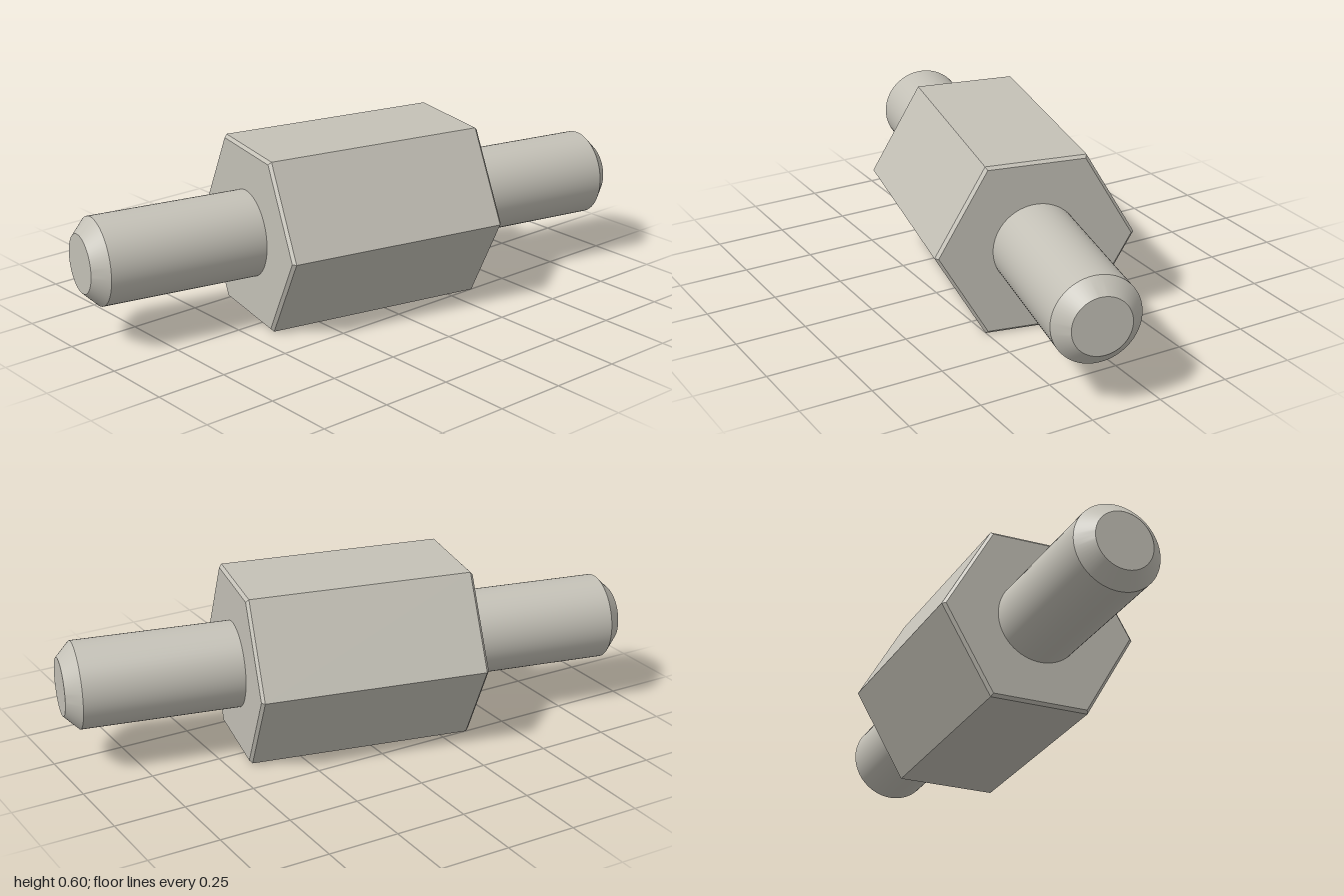
import * as THREE from 'three';
import { toCreasedNormals } from 'three/addons/utils/BufferGeometryUtils.js';

// Turned solid along +x from [radius, position] pairs, with sharp creases
function turned(profile, sides) {
  const points = profile.map(([r, a]) => new THREE.Vector2(r, a));
  const geometry = new THREE.LatheGeometry(points, sides);
  geometry.rotateZ(-Math.PI / 2);
  return toCreasedNormals(geometry, 0.5);
}

export function createModel() {
  const model = new THREE.Group();
  model.name = 'hexSpacer';
  const metal = new THREE.MeshStandardMaterial({ color: 0xc4c1b7 });
  metal.name = 'warm grey metal';

  const body = new THREE.Group();
  body.name = 'spacerBody';
  body.position.y = 0.3;
  body.rotation.y = THREE.MathUtils.degToRad(-12);
  model.add(body);

  // Hexagonal barrel with a fine chamfer at both ends
  const R = 0.3 / Math.cos(Math.PI / 6);
  const barrel = new THREE.Mesh(
    turned([[0, -0.4], [R - 0.0115, -0.4], [R, -0.39], [R, 0.39], [R - 0.0115, 0.4], [0, 0.4]], 6),
    metal
  );
  barrel.name = 'hexBarrel';
  body.add(barrel);

  // Round studs with chamfered tips
  const studGeometry = turned([[0.15, 0.39], [0.15, 0.95], [0.1, 1], [0, 1]], 64);
  ['leftStud', 'rightStud'].forEach((name, i) => {
    const stud = new THREE.Mesh(studGeometry, metal);
    stud.name = name;
    stud.rotation.y = i * Math.PI;
    body.add(stud);
  });

  return model;
}
